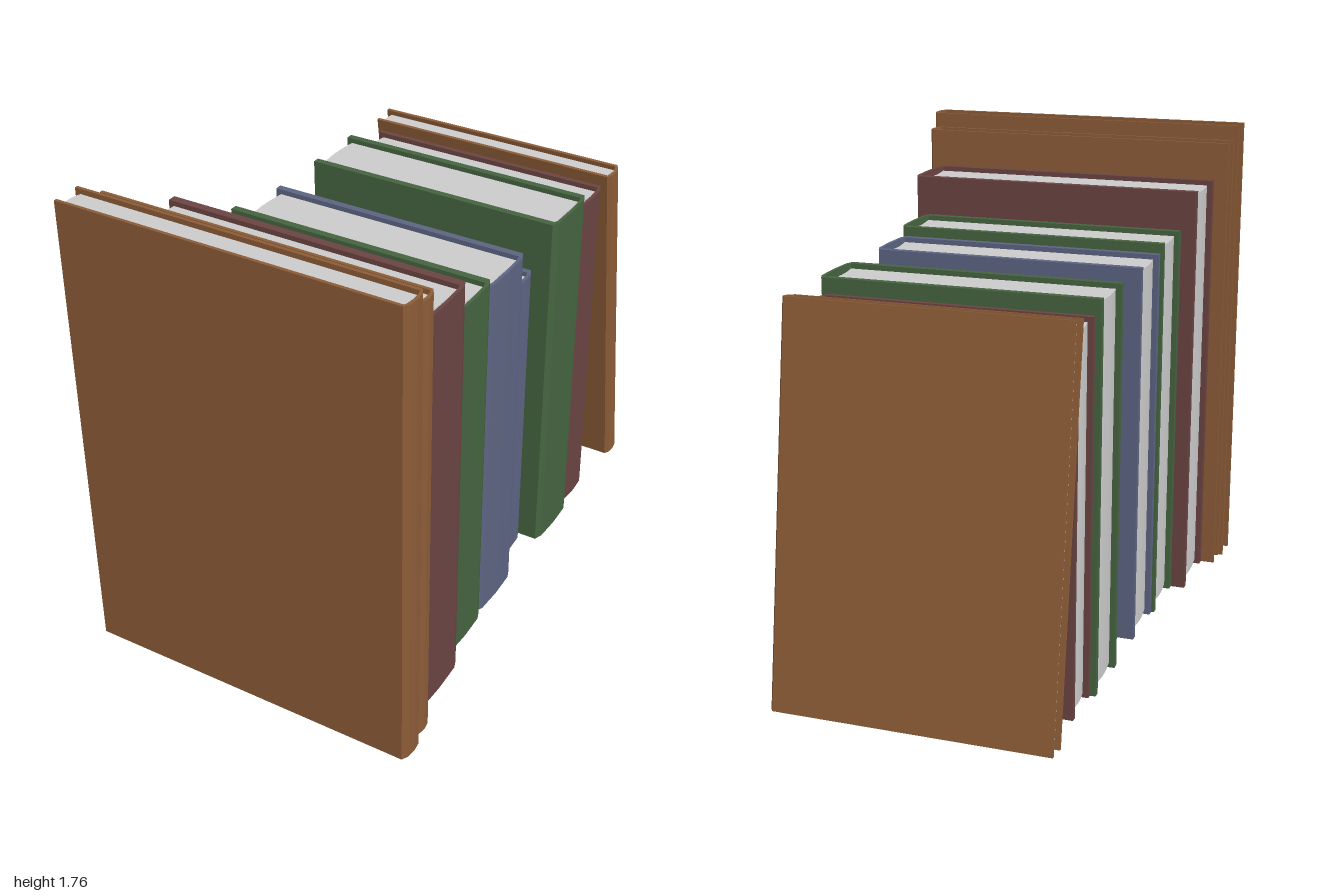
import * as THREE from 'three';

const BROWN = 0x8c5c37, MAROON = 0x6a4442, GREEN = 0x456340, BLUE = 0x5c6481;

const material = (color) =>
  new THREE.MeshStandardMaterial({ color, flatShading: true });

// Extrudes an outline given as [x, z] points straight up to height h.
function prism(points, h, color, name) {
  const shape = new THREE.Shape(points.map(([x, z]) => new THREE.Vector2(x, -z)));
  const geometry = new THREE.ExtrudeGeometry(shape, { depth: h, bevelEnabled: false });
  geometry.rotateX(-Math.PI / 2);
  const mesh = new THREE.Mesh(geometry, material(color));
  mesh.name = name;
  return mesh;
}

// One book: front board on z = 0, back board on z = -t, spine on +x.
function makeBook(x0, x1, t, h, board, color) {
  const book = new THREE.Group();
  const c = Math.min(0.03, t * 0.2); // depth of the spine's chamfer
  const wall = 0.012;

  // Boards and spine as one C-shaped wrap with chamfered spine corners
  const cover = prism([
    [x0, 0], [x1 - 0.016, 0], [x1 - 0.004, -c], [x1, -t / 2], [x1 - 0.004, c - t],
    [x1 - 0.016, -t], [x0, -t], [x0, board - t],
    [x1 - 0.02, board - t], [x1 - wall - 0.003, board - t + c / 2], [x1 - wall, -t / 2],
    [x1 - wall - 0.003, -board - c / 2], [x1 - 0.02, -board], [x0, -board],
  ], h, color, 'cover');

  // Page block, bowed towards the fore edge and hollowed behind the spine
  const steps = 6;
  const edge = (x, bow) => Array.from({ length: steps + 1 }, (_, i) => {
    const f = i / steps;
    return [x - bow * Math.sin(Math.PI * f), -board - f * (t - 2 * board)];
  });
  const inset = 0.018;
  const pages = prism(
    [...edge(x1 - 0.019, 0.012), ...edge(x0 + 0.02, 0.009).reverse()],
    h - 2 * inset, 0xcccccc, 'pages');
  pages.position.y = inset;

  book.add(cover, pages);
  return book;
}

export function createModel() {
  const model = new THREE.Group();
  model.name = 'bookRow';

  // Standing books, front to back: [left x, spine x, front z, back z, height, board, colour]
  const books = [
    [-0.63, 0.627, 1.0, 0.887, 1.76, 0.012, BROWN],
    [-0.615, 0.607, 0.887, 0.791, 1.705, 0.012, BROWN],
    [-0.563, 0.555, 0.791, 0.496, 1.565, 0.03, MAROON],
    [-0.51, 0.505, 0.496, 0.228, 1.42, 0.027, GREEN],
    [-0.5, 0.493, 0.228, -0.035, 1.385, 0.026, BLUE],
    [-0.425, 0.42, -0.035, -0.26, 1.185, 0.023, BLUE],
    [-0.5, 0.493, -0.26, -0.52, 1.385, 0.026, GREEN],
    [-0.48, 0.47, -0.52, -0.715, 1.33, 0.02, MAROON],
  ];
  books.forEach(([x0, x1, z0, z1, h, board, color], i) => {
    const book = makeBook(x0, x1, z0 - z1, h, board, color);
    book.name = `standingBook${i + 1}`;
    book.position.z = z0;
    model.add(book);
  });

  // Last book leans forward against the row
  const leaning = makeBook(-0.5, 0.493, 0.088, 1.384, 0.012, BROWN);
  leaning.name = 'leaningBook';
  leaning.position.z = -0.912;
  leaning.rotation.x = 0.142;
  model.add(leaning);

  return model;
}
